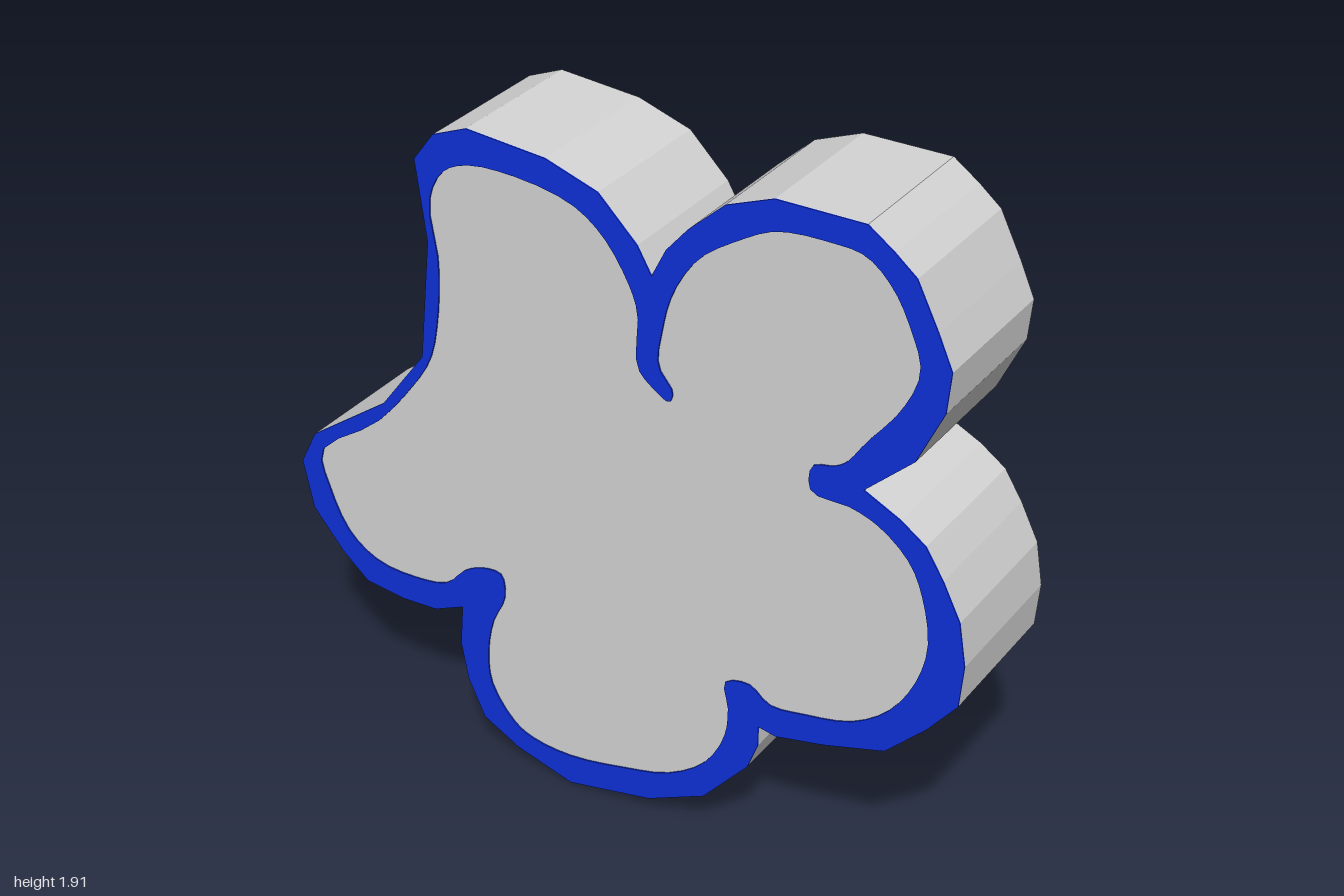
import * as THREE from 'three';

// Faceted five-petal silhouette, x/y pairs in hundredths, counter-clockwise from the bottom
const OUTLINE = [
  -14, 0, 11, 5, 28, 13, 41, 28, 44, 36, 44, 42,                           // bottom petal, right half
  49, 41, 63, 44, 80, 49, 91, 60, 99, 70, 100, 82, 98, 94, 93, 104, 88, 112, 81, 117, 71, 122,
  84, 134, 91, 149, 92, 160, 88, 169, 82, 181, 76, 186, 69, 191, 45, 191, 32, 186, 22, 177, 16, 170, 12, 162,
  8, 169, -3, 180, -18, 185, -41, 187, -51, 183, -57, 175, -54, 153, -57.5, 119,
  -71, 101, -95, 84, -100, 74, -97, 60, -88, 49, -80, 42, -68, 40.5, -57, 41, -48, 45,
  -49, 33, -47, 22, -42, 11, -31, 5,                                       // bottom petal, left half
];

// Inner edge of the painted border
const INNER = [
  -14, 9, 3, 12, 17, 16, 28, 24, 34, 35, 35, 44, 34, 52, 41, 54, 47, 50,
  57, 51, 70, 54, 80, 61, 87, 72, 90, 84, 88, 97, 84, 106, 76, 113, 68, 116, 57, 117, 57, 124, 63, 126,
  66, 128, 71, 135, 80, 147, 84, 158, 81, 168, 76, 177, 69, 183, 60, 184, 46, 183, 36, 178, 25, 170,
  18, 159, 15, 148, 14, 138, 18, 132, 17, 129, 13, 131, 8, 136, 8, 151, 5, 159,
  -2, 169, -11, 175, -29, 178, -42, 177, -49, 173, -53, 164, -51, 148, -52, 132, -55, 119,
  -62, 108, -74, 94, -93, 79, -91, 68, -85, 56, -76, 50, -63, 49, -53, 51, -47, 57, -41, 60, -35, 60,
  -34, 53, -38, 44, -40, 33, -39, 23, -32, 13, -26, 10,
];

function toPoints(list) {
  const points = [];
  for (let i = 0; i < list.length; i += 2) points.push(new THREE.Vector3(list[i] / 100, list[i + 1] / 100, 0));
  return points;
}

function slab(name, shape, back, front, material) {
  const geometry = new THREE.ExtrudeGeometry(shape, { depth: front - back, bevelEnabled: false, curveSegments: 1 });
  geometry.translate(0, 0, back);
  const mesh = new THREE.Mesh(geometry, material);
  mesh.name = name;
  return mesh;
}

export function createModel() {
  const grey = new THREE.MeshStandardMaterial({ color: 0xd4d4d4 });
  grey.name = 'light grey';
  const blue = new THREE.MeshStandardMaterial({ color: 0x0e2fd8 });
  blue.name = 'blue';

  const group = new THREE.Group();
  group.name = 'flower';

  // Thick flower body
  const outline = toPoints(OUTLINE);
  group.add(slab('flowerBody', new THREE.Shape(outline), -0.21, 0.202, grey));

  // Thin border painted on the front, with a smooth inner edge
  const border = new THREE.Shape(outline);
  const inner = new THREE.CatmullRomCurve3(toPoints(INNER), true, 'centripetal');
  border.holes.push(new THREE.Path(inner.getPoints(200).slice(0, -1)));
  group.add(slab('frontBorder', border, 0.202, 0.206, blue));

  return group;
}
